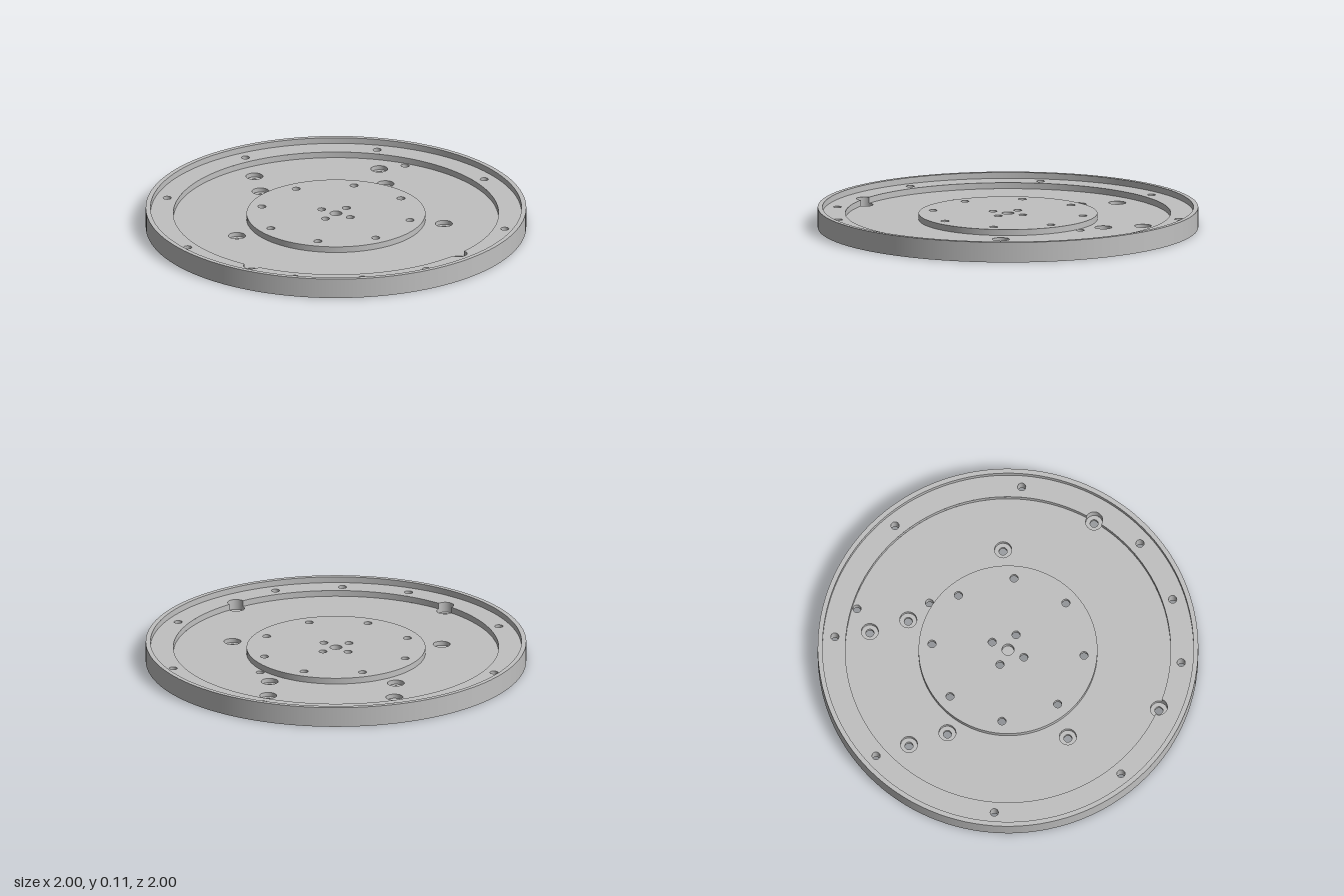
import * as THREE from 'three';

// Heights and radii of the stepped disc
const TOP = 0.107, STEP = 0.075, FLOOR = 0.043, BORE = 0.02, UNDER = 0.05;
const R = 1, RIM = 0.975, POCKET = 0.855, BOSS = 0.47;
const HOLE = 0.0215, HEAD = 0.045, PIN_HEAD = 0.04, PIVOT = 0.032;
const TAU = Math.PI * 2;

// Angles run from +z towards +x
const at = (r, a, x = 0, z = 0) => [x + r * Math.sin(a), z + r * Math.cos(a)];
const arc = (r, from, to, n, x = 0, z = 0) =>
  Array.from({ length: n + 1 }, (_, i) => at(r, from + (to - from) * i / n, x, z));
const circle = (r, x = 0, z = 0, n = r > 0.2 ? 128 : 24) => arc(r, 0, TAU, n, x, z).slice(0, -1);
const mirrorX = list => list.flatMap(([x, z]) => [[x, z], [-x, z]]);
const mirrorXZ = list => mirrorX(list.flatMap(([x, z]) => [[x, z], [x, -z]]));

export function createModel() {
  const model = new THREE.Group();
  model.name = 'mountingPlate';
  const metal = new THREE.MeshStandardMaterial({ color: 0xc0c0c0 });
  metal.name = 'grey metal';

  const add = (name, geometry, x = 0, y = 0, z = 0) => {
    const mesh = new THREE.Mesh(geometry, metal);
    mesh.name = name;
    mesh.position.set(x, y, z);
    model.add(mesh);
  };

  // Flat horizontal face with cut-outs, facing up or down
  const face = (name, outline, holes, y, up = true) => {
    const flat = pts => pts.map(([x, z]) => new THREE.Vector2(x, up ? -z : z));
    const shape = new THREE.Shape(flat(outline));
    shape.holes = holes.map(h => new THREE.Path(flat(h)));
    add(name, new THREE.ShapeGeometry(shape).rotateX(up ? -Math.PI / 2 : Math.PI / 2), 0, y, 0);
  };

  // Round wall: faces outward when y runs upward, inward when it runs downward
  const wall = (name, r, yFrom, yTo, x = 0, z = 0, start = 0, length = TAU) => {
    const n = Math.max(4, Math.round((r > 0.2 ? 128 : 24) * length / TAU));
    const pts = [new THREE.Vector2(r, yFrom), new THREE.Vector2(r, yTo)];
    add(name, new THREE.LatheGeometry(pts, n, start, length), x, 0, z);
  };

  // Hole positions as [x, z]
  const ledgeHoles = [...mirrorXZ([[0.35, 0.843], [0.843, 0.35]]), [0, 0.91]];
  const floorHoles = [[0.474, -0.68], [0.387, -0.308]];
  const bossHoles = mirrorXZ([[0.154, 0.37], [0.37, 0.154]]);
  const pinHoles = mirrorXZ([[0.066, 0.066]]);
  const floorBores = mirrorX([[0.332, -0.655], [0.332, -0.443], [0.55, 0.152]]);
  const edgeAngle = Math.atan2(0.55, 0.655);
  const edgeBores = [edgeAngle, -edgeAngle].map(a => at(POCKET, a));
  const bores = [...floorBores, ...edgeBores];
  const rings = (list, r) => list.map(([x, z]) => circle(r, x, z));

  // Pocket edge, notched by the two bores that straddle it
  const half = 2 * Math.asin(HEAD / (2 * POCKET));
  const inner = Math.acos(HEAD / (2 * POCKET));
  const outer = Math.PI - inner;
  const spans = [[edgeAngle + half, TAU - edgeAngle - half, 100], [-edgeAngle + half, edgeAngle - half, 28]];
  const pocketEdge = outward => spans.flatMap(([from, to, n], i) => {
    const a = i ? edgeAngle : -edgeAngle;
    const [x, z] = at(POCKET, a);
    const end = outward ? a + outer : a - outer - 2 * inner;
    return [...arc(POCKET, from, to, n), ...arc(HEAD, a - outer, end, 12, x, z).slice(1, -1)];
  });

  // Body faces
  face('rimTop', circle(R), [circle(RIM)], TOP);
  face('ledge', circle(RIM), [pocketEdge(true), ...rings(ledgeHoles, HOLE)], STEP);
  face('pocketFloor', pocketEdge(false),
    [circle(BOSS), ...rings(floorBores, HEAD), ...rings(floorHoles, HOLE)], FLOOR);
  face('bossTop', circle(BOSS),
    [circle(PIVOT), ...rings([...bossHoles, ...pinHoles], HOLE)], STEP);
  face('underside', circle(R), [
    ...rings([...ledgeHoles, ...floorHoles, ...bores], HOLE),
    ...rings(bossHoles, HEAD), ...rings(pinHoles, PIN_HEAD)], 0, false);

  // Body walls
  wall('outerWall', R, 0, TOP);
  wall('rimInnerWall', RIM, TOP, STEP);
  wall('bossWall', BOSS, FLOOR, STEP);
  spans.forEach(([from, to]) => wall('pocketWall', POCKET, STEP, FLOOR, 0, 0, from, to - from));

  // Plain through holes
  ledgeHoles.forEach(([x, z]) => wall('ledgeHole', HOLE, STEP, 0, x, z));
  floorHoles.forEach(([x, z]) => wall('floorHole', HOLE, FLOOR, 0, x, z));

  // Holes counterbored from above
  bores.forEach(([x, z]) => {
    face('boreSeat', circle(HEAD, x, z), [circle(HOLE, x, z)], BORE);
    wall('boreHole', HOLE, BORE, 0, x, z);
  });
  floorBores.forEach(([x, z]) => wall('boreWall', HEAD, FLOOR, BORE, x, z));
  edgeBores.forEach(([x, z], i) => {
    const a = i ? -edgeAngle : edgeAngle;
    wall('edgeBoreInnerWall', HEAD, FLOOR, BORE, x, z, a + outer, 2 * inner);
    wall('edgeBoreOuterWall', HEAD, STEP, BORE, x, z, a - outer, 2 * outer);
  });

  // Holes counterbored from below
  [[bossHoles, HEAD], [pinHoles, PIN_HEAD]].forEach(([list, r]) => list.forEach(([x, z]) => {
    wall('bossHole', HOLE, STEP, UNDER, x, z);
    face('underSeat', circle(r, x, z), [circle(HOLE, x, z)], UNDER, false);
    wall('underBoreWall', r, UNDER, 0, x, z);
  }));

  // Blind pivot hole in the middle
  wall('pivotWall', PIVOT, STEP, FLOOR);
  face('pivotFloor', circle(PIVOT), [], FLOOR);

  return model;
}
